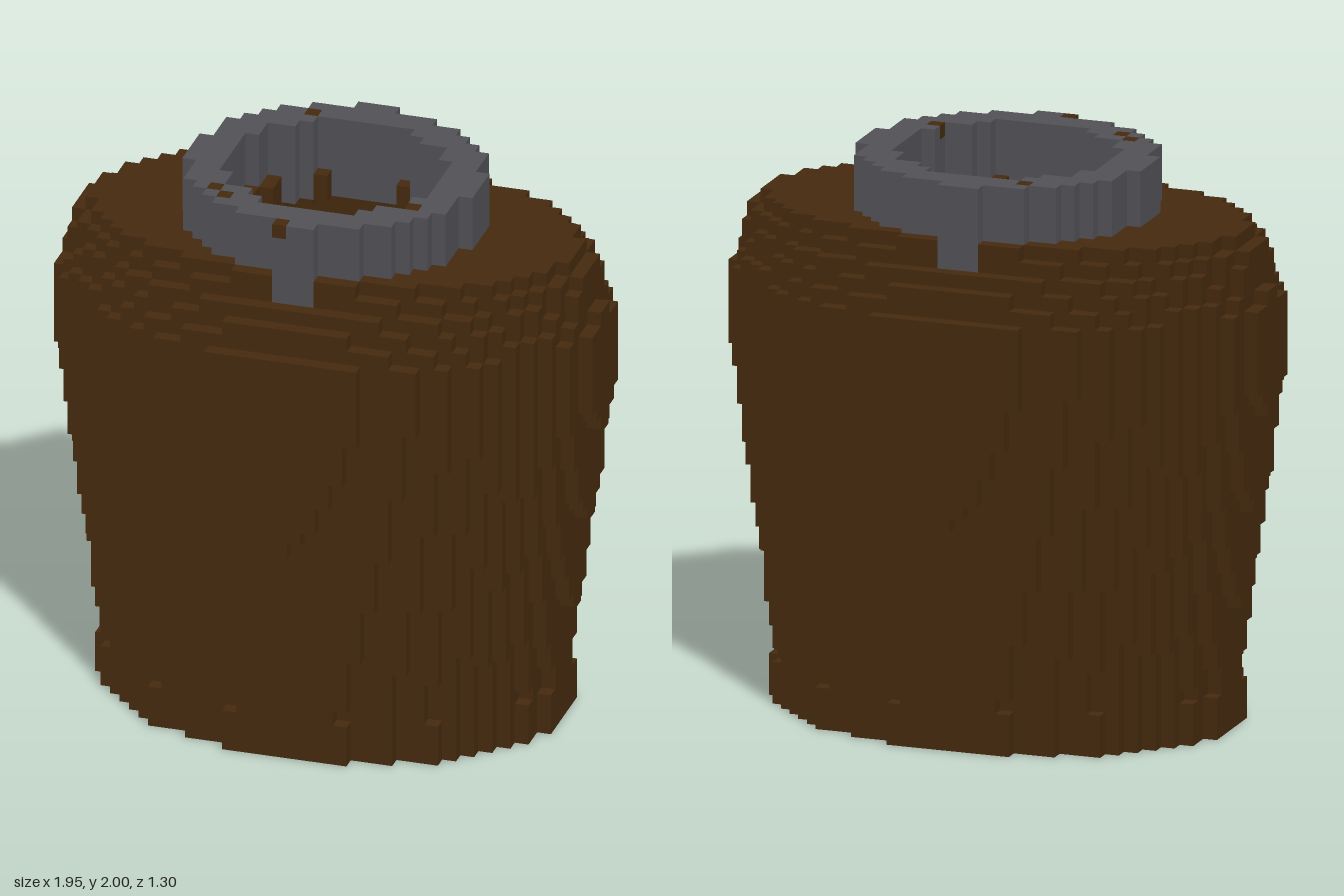
import * as THREE from 'three';

const S = 0.05; // block size
const brown = new THREE.MeshStandardMaterial({ color: 0x452a0e });
brown.name = 'brown cloth';
const grey = new THREE.MeshStandardMaterial({ color: 0x525156 });
grey.name = 'grey trim';

const inside = (x, z, rx, rz) => (x / rx) ** 2 + (z / rz) ** 2 <= 1;

// Half width and half depth of the torso at a height
const shoulders = [[0.955, 0.62], [0.94, 0.592], [0.925, 0.565], [0.91, 0.52], [0.875, 0.495]];
function torsoRadii(y) {
  if (y < 0.15) return [0.825, 0.6];
  if (y > 1.55) return shoulders[Math.min(4, Math.floor((y - 1.55) / S))];
  const t = Math.min(1, (y - 0.15) / 1.15);
  return [0.803 + 0.172 * t, 0.59 + 0.06 * t];
}

// Stray brown blocks set in the collar: x, y, z
const patches = [
  [-0.05, 1.975, 0.475], [-0.2, 1.975, -0.375], [-0.35, 1.975, 0.275],
  [-0.3, 1.975, 0.325], [0.35, 1.975, 0.225],
];

// 0 = empty, 1 = torso, 2 = collar
function blockAt(i, j, k) {
  const x = i * S, y = (j + 0.5) * S, z = (k + 0.5) * S;
  if (y < 0 || y > 2) return 0;
  if (y > 1.7 && inside(x, z, 0.51, 0.48) && !inside(x, z, 0.385, 0.36)) {
    const patch = patches.some(([a, b, c]) => Math.hypot(a - x, b - y, c - z) < 0.01);
    return patch ? 1 : 2;
  }
  if (y > 1.8) return 0;
  const [rx, rz] = torsoRadii(y);
  if (!inside(x, z, rx, rz)) return 0;
  const hollow = y > 1.7 ? inside(x, z, 0.345, 0.35) : inside(x, z, rx - 0.1, rz - 0.1);
  return hollow ? 0 : 1;
}

// Gather the exposed faces of every block of one kind
function blockGeometry(kind) {
  const positions = [], normals = [], index = [];
  for (let i = -20; i <= 20; i++) for (let j = 0; j < 40; j++) for (let k = -14; k < 14; k++) {
    if (blockAt(i, j, k) !== kind) continue;
    const centre = [i * S, (j + 0.5) * S, (k + 0.5) * S];
    for (let axis = 0; axis < 3; axis++) for (const side of [-1, 1]) {
      const n = [0, 0, 0];
      n[axis] = side;
      if (blockAt(i + n[0], j + n[1], k + n[2])) continue;
      const u = (axis + 1) % 3, v = (axis + 2) % 3, first = positions.length / 3;
      for (const [a, b] of [[-1, -1], [1, -1], [1, 1], [-1, 1]]) {
        const p = [...centre];
        p[axis] += side * S / 2;
        p[u] += a * side * S / 2;
        p[v] += b * S / 2;
        positions.push(...p);
        normals.push(...n);
      }
      index.push(first, first + 1, first + 2, first, first + 2, first + 3);
    }
  }
  const geometry = new THREE.BufferGeometry();
  geometry.setAttribute('position', new THREE.Float32BufferAttribute(positions, 3));
  geometry.setAttribute('normal', new THREE.Float32BufferAttribute(normals, 3));
  geometry.setIndex(index);
  return geometry;
}

export function createModel() {
  const model = new THREE.Group();
  model.name = 'tunic';
  const torso = new THREE.Mesh(blockGeometry(1), brown);
  torso.name = 'torso';
  const collar = new THREE.Mesh(blockGeometry(2), grey);
  collar.name = 'collar';
  model.add(torso, collar);
  return model;
}
